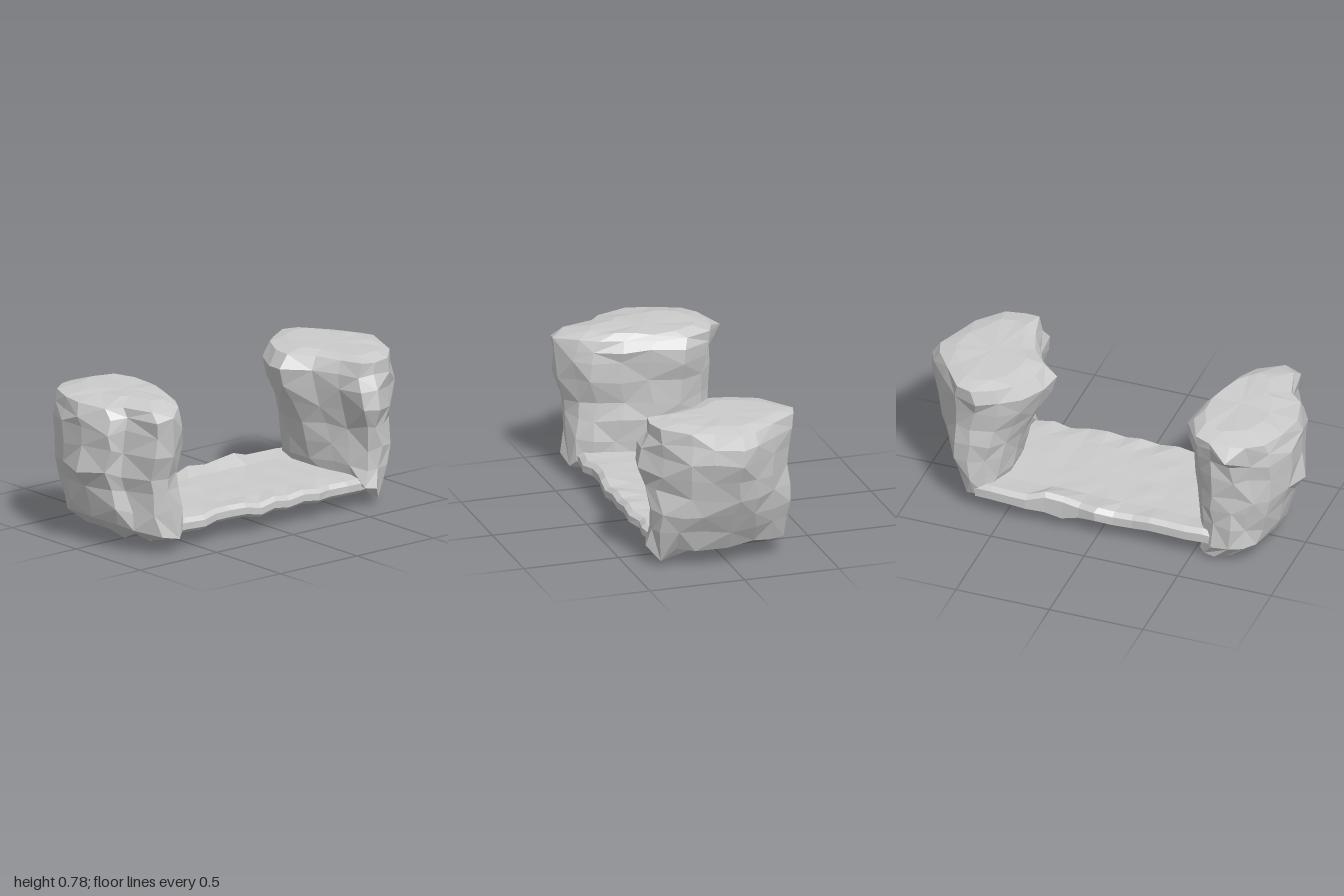
import * as THREE from 'three';
import { mergeVertices } from 'three/addons/utils/BufferGeometryUtils.js';

const stone = new THREE.MeshStandardMaterial({ color: 0xcccccc, flatShading: true });

// Repeatable noise in -1..1 from three numbers
function noise(a, b, c) {
  const s = Math.sin(a * 12.9898 + b * 78.233 + c * 37.719) * 43758.5453;
  return (s - Math.floor(s)) * 2 - 1;
}

// Lofts a plan outline through levels [y, xMin, xMax, zMin, zMax], starting from a
// plain oval foot and taking on the outline's own shape towards the top.
// Pinned points [level, point, x, y, z] form individual rock corners.
function rockPillar(name, outline, levels, pins, rough, seed) {
  const n = outline.length, last = levels.length - 1;
  const xs = outline.map(p => p[0]), zs = outline.map(p => p[1]);
  const x0 = Math.min(...xs), z0 = Math.min(...zs);
  const w = Math.max(...xs) - x0, d = Math.max(...zs) - z0;
  const oval = v => (1 + Math.sign(v) * Math.abs(v) ** 0.65) / 2;
  const pos = [], index = [];

  levels.forEach(([y, xa, xb, za, zb], k) => outline.forEach(([px, pz], i) => {
    const angle = i / n * Math.PI * 2, foot = 0.6 * Math.max(0, 1 - k / 5);
    const u = THREE.MathUtils.lerp((px - x0) / w, oval(Math.sin(angle)), foot);
    const v = THREE.MathUtils.lerp((pz - z0) / d, oval(-Math.cos(angle)), foot);
    pos.push(
      xa + u * (xb - xa) + rough * noise(i, k, seed),
      y + rough * (k > last - 2 ? 0.4 : 1.2) * noise(i, k, seed + 1),
      za + v * (zb - za) + rough * noise(i, k, seed + 2));
  }));
  for (const [k, i, x, y, z] of pins) pos.splice((k * n + i) * 3, 3, x, y, z);

  // Sides, with alternating diagonals
  for (let k = 0; k < last; k++) {
    for (let i = 0; i < n; i++) {
      const j = (i + 1) % n, a = k * n + i, b = k * n + j, c = b + n, e = a + n;
      if ((i + k) % 2) index.push(a, e, c, a, c, b);
      else index.push(a, e, b, e, c, b);
    }
  }
  // Bottom and top caps
  for (const k of [0, last]) {
    const [y, xa, xb, za, zb] = levels[k], centre = pos.length / 3;
    pos.push((xa + xb) / 2, y, (za + zb) / 2);
    for (let i = 0; i < n; i++) {
      const a = k * n + i, b = k * n + (i + 1) % n;
      if (k) index.push(a, centre, b);
      else index.push(a, b, centre);
    }
  }
  const geo = new THREE.BufferGeometry();
  geo.setAttribute('position', new THREE.Float32BufferAttribute(pos, 3));
  geo.setIndex(index);
  geo.computeVertexNormals();
  const mesh = new THREE.Mesh(geo, stone);
  mesh.name = name;
  return mesh;
}

// Thin slab joining the pillars, with an uneven upright rim
function rockSlab() {
  let geo = new THREE.BoxGeometry(1.3, 0.075, 0.64, 14, 3, 6);
  geo.deleteAttribute('normal');
  geo.deleteAttribute('uv');
  geo = mergeVertices(geo);
  const p = geo.attributes.position;
  for (let i = 0; i < p.count; i++) {
    const x = p.getX(i), y = p.getY(i), z = p.getZ(i);
    const ix = Math.round(x * 50), iy = Math.round(y * 50), iz = Math.round(z * 50);
    const rim = Math.abs(z) > 0.31;
    const bulge = rim && Math.abs(y) < 0.03 ? 0.025 : 0;
    const lump = z < -0.25 ? 0.03 * Math.exp(-(((x - 0.22) / 0.1) ** 2)) * Math.sign(y) : 0;
    const backRim = z < -0.31 && y > 0 ? 0.012 : 0;
    p.setXYZ(i,
      x + 0.008 * noise(ix, iy, iz),
      0.12 + y * (bulge ? 1.4 : 1) + lump + backRim + (rim ? 0.01 : 0.003) * noise(ix, iz, 5),
      z + 0.015 + Math.sign(z) * bulge + (rim ? 0.014 : 0.006) * noise(ix, iz, 9));
  }
  geo.computeVertexNormals();
  const mesh = new THREE.Mesh(geo, stone);
  mesh.name = 'slab';
  return mesh;
}

export function createModel() {
  const group = new THREE.Group();
  group.name = 'rockFormation';

  // Plan outlines (x, z), starting at the back
  const rightPlan = [
    [-0.74, -0.39], [-0.62, -0.39], [-0.53, -0.33], [-0.44, -0.18], [-0.46, 0], [-0.50, 0.15],
    [-0.55, 0.30], [-0.62, 0.38], [-0.72, 0.44], [-0.82, 0.42], [-0.87, 0.22], [-0.95, 0.18],
    [-1, 0], [-0.98, -0.15], [-0.92, -0.30], [-0.82, -0.35]];
  const leftPlan = [
    [0.64, -0.38], [0.75, -0.35], [0.88, -0.21], [0.97, -0.08], [1, 0], [0.94, 0.14],
    [0.88, 0.24], [0.75, 0.37], [0.63, 0.40], [0.54, 0.38], [0.50, 0.25], [0.44, 0.11],
    [0.33, 0], [0.35, -0.12], [0.42, -0.25], [0.52, -0.33]];

  // Blocky pillar, rounded below and bulging at the top
  group.add(rockPillar('rightPillar', rightPlan, [
    [0.03, -0.72, -0.52, -0.31, 0.18],
    [0.11, -0.89, -0.50, -0.34, 0.39],
    [0.22, -0.92, -0.49, -0.34, 0.39],
    [0.32, -0.95, -0.475, -0.35, 0.38],
    [0.41, -0.99, -0.465, -0.34, 0.38],
    [0.53, -0.985, -0.46, -0.35, 0.42],
    [0.63, -0.985, -0.44, -0.36, 0.42],
    [0.70, -0.98, -0.44, -0.37, 0.42],
    [0.75, -0.96, -0.46, -0.37, 0.38],
    [0.777, -0.82, -0.50, -0.28, 0.26],
  ], [[0, 6, -0.62, 0, 0.13], [1, 8, -0.64, 0.07, 0.38], [1, 9, -0.76, 0.10, 0.39],
    [1, 11, -0.87, 0.14, 0.17], [1, 12, -0.90, 0.15, 0], [1, 13, -0.89, 0.15, -0.13],
    [7, 0, -0.73, 0.70, -0.445], [4, 12, -1, 0.40, 0],
    [7, 8, -0.73, 0.73, 0.44], [7, 9, -0.82, 0.71, 0.42]], 0.012, 3));

  // Wedge pillar, narrow below and flaring to a flat top, with a jutting front corner
  group.add(rockPillar('leftPillar', leftPlan, [
    [0.10, 0.55, 0.76, -0.32, 0.36],
    [0.20, 0.51, 0.83, -0.34, 0.38],
    [0.30, 0.49, 0.885, -0.34, 0.38],
    [0.40, 0.46, 0.92, -0.35, 0.37],
    [0.50, 0.41, 0.96, -0.34, 0.37],
    [0.60, 0.36, 0.99, -0.35, 0.38],
    [0.69, 0.34, 0.985, -0.37, 0.39],
    [0.755, 0.39, 0.95, -0.37, 0.38],
    [0.772, 0.48, 0.86, -0.28, 0.28],
  ], [[0, 7, 0.69, 0.03, 0.34], [0, 8, 0.63, 0.10, 0.40], [0, 9, 0.57, 0.11, 0.38],
    [3, 7, 0.70, 0.42, 0.37], [3, 8, 0.62, 0.42, 0.40], [3, 9, 0.58, 0.43, 0.39],
    [4, 8, 0.62, 0.52, 0.44], [4, 9, 0.53, 0.53, 0.42],
    [5, 8, 0.62, 0.62, 0.42], [5, 9, 0.52, 0.62, 0.41],
    [5, 4, 1, 0.60, 0], [6, 12, 0.33, 0.69, 0]], 0.01, 11));

  group.add(rockSlab());
  return group;
}
